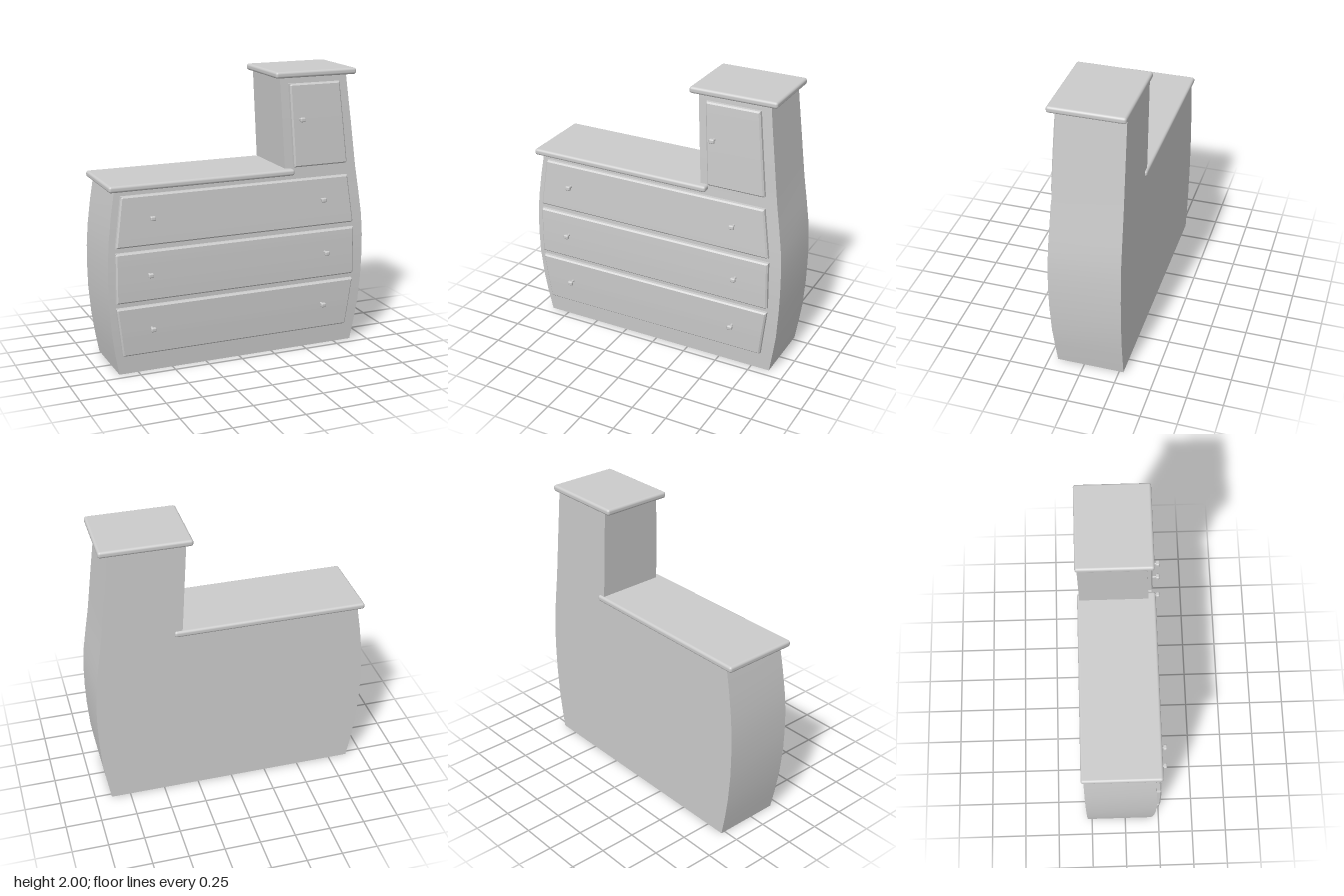
import * as THREE from 'three';
import { toCreasedNormals } from 'three/addons/utils/BufferGeometryUtils.js';
import { RoundedBoxGeometry } from 'three/addons/geometries/RoundedBoxGeometry.js';

const grey = new THREE.MeshStandardMaterial({ color: 0xcccccc });
const shellGrey = new THREE.MeshStandardMaterial({ color: 0xcccccc, side: THREE.DoubleSide });
const BACK = -0.28;

// Body profile by height: [y, left x, right x, front z]
const lower = [
  [0, -0.885, 0.885, 0.19], [0.15, -0.913, 0.91, 0.199], [0.3, -0.935, 0.932, 0.208],
  [0.5, -0.952, 0.946, 0.215], [0.65, -0.955, 0.95, 0.217], [0.8, -0.953, 0.949, 0.216],
  [0.95, -0.942, 0.94, 0.211], [1.12, -0.92, 0.917, 0.203], [1.3, -0.89, 0.89, 0.195],
];
const tower = [
  [1.3, 0.342, 0.89, 0.195], [1.45, 0.333, 0.872, 0.19], [1.62, 0.324, 0.852, 0.184],
  [1.8, 0.314, 0.83, 0.176], [1.97, 0.305, 0.81, 0.167],
];
const profile = [...lower, ...tower];

// Front surface depth at a given height
function frontZ(y) {
  for (let i = 1; i < profile.length; i++) {
    const [y0, , , z0] = profile[i - 1], [y1, , , z1] = profile[i];
    if (y <= y1 && y1 > y0) return THREE.MathUtils.lerp(z0, z1, (y - y0) / (y1 - y0));
  }
  return profile[profile.length - 1][3];
}

// Skin a stack of equal-length rings, with optional end caps
function loft(rings, capBottom, capTop) {
  const n = rings[0].length, index = [];
  rings.slice(1).forEach((_, r) => {
    for (let i = 0; i < n; i++) {
      const a = r * n + i, b = r * n + (i + 1) % n;
      index.push(a, b, b + n, a, b + n, a + n);
    }
  });
  const last = (rings.length - 1) * n;
  for (let i = 1; i < n - 1; i++) {
    if (capBottom) index.push(0, i + 1, i);
    if (capTop) index.push(last, last + i, last + i + 1);
  }
  const geometry = new THREE.BufferGeometry();
  geometry.setAttribute('position', new THREE.Float32BufferAttribute(rings.flat(2), 3));
  geometry.setIndex(index);
  return toCreasedNormals(geometry, 0.5);
}

// Curved, bevelled panel that follows the bowed front
function panelGeometry(y0, y1, bottomX, topX) {
  const bevel = 0.01, thick = 0.032, rings = [], steps = 10;
  const addRing = (y, inset) => {
    const t = (y - y0) / (y1 - y0);
    const l = THREE.MathUtils.lerp(bottomX[0], topX[0], t);
    const r = THREE.MathUtils.lerp(bottomX[1], topX[1], t);
    const z = frontZ(y), back = z - 0.005, side = z + thick - bevel, face = z + thick - inset;
    rings.push([[l, y, back], [l, y, side], [l + bevel, y, face],
      [r - bevel, y, face], [r, y, side], [r, y, back]]);
  };
  addRing(y0, bevel);
  for (let i = 0; i <= steps; i++) addRing(THREE.MathUtils.lerp(y0 + bevel, y1 - bevel, i / steps), 0);
  addRing(y1, bevel);
  return loft(rings, true, true);
}

function knob(x, y) {
  const group = new THREE.Group();
  group.name = 'knob';
  const stem = new THREE.Mesh(new THREE.CylinderGeometry(0.008, 0.01, 0.045, 10), grey);
  stem.name = 'knobStem';
  stem.rotation.x = Math.PI / 2;
  stem.position.z = 0.012;
  const head = new THREE.Mesh(new RoundedBoxGeometry(0.037, 0.031, 0.026, 2, 0.009), grey);
  head.name = 'knobHead';
  head.position.z = 0.04;
  group.add(stem, head);
  group.position.set(x, y, frontZ(y) + 0.03);
  group.rotation.x = Math.atan((frontZ(y + 0.1) - frontZ(y - 0.1)) / 0.2);
  return group;
}

function slab(name, x0, x1, y0, y1, z0, z1) {
  const mesh = new THREE.Mesh(new RoundedBoxGeometry(x1 - x0, y1 - y0, z1 - z0, 3, 0.017), grey);
  mesh.name = name;
  mesh.position.set((x0 + x1) / 2, (y0 + y1) / 2, (z0 + z1) / 2);
  return mesh;
}

export function createModel() {
  const model = new THREE.Group();
  model.name = 'dresser';

  // Hollow bowed body with a side tower, open underneath
  const rings = profile.map(([y, l, r, z]) => [[l, y, BACK], [l, y, z], [r, y, z], [r, y, BACK]]);
  const body = new THREE.Mesh(loft(rings, false, true), shellGrey);
  body.name = 'body';
  model.add(body);

  // Overhanging tops
  model.add(slab('dresserTop', -0.94, 0.395, 1.284, 1.328, -0.295, 0.245));
  model.add(slab('towerTop', 0.257, 0.87, 1.956, 2, -0.29, 0.217));

  // Drawers and door, each with its knobs
  const fronts = [
    { name: 'bottomDrawer', y: [0.138, 0.486], bottom: [-0.865, 0.823], top: [-0.907, 0.866], knobs: [[-0.664, 0.326], [0.617, 0.326]] },
    { name: 'middleDrawer', y: [0.522, 0.868], bottom: [-0.908, 0.868], top: [-0.905, 0.863], knobs: [[-0.677, 0.71], [0.634, 0.71]] },
    { name: 'topDrawer', y: [0.905, 1.25], bottom: [-0.902, 0.86], top: [-0.855, 0.813], knobs: [[-0.653, 1.095], [0.607, 1.095]] },
    { name: 'door', y: [1.336, 1.912], bottom: [0.402, 0.81], top: [0.368, 0.749], knobs: [[0.443, 1.67]] },
  ];
  for (const f of fronts) {
    const group = new THREE.Group();
    group.name = f.name;
    const panel = new THREE.Mesh(panelGeometry(...f.y, f.bottom, f.top), grey);
    panel.name = f.name + 'Panel';
    group.add(panel, ...f.knobs.map(([x, y]) => knob(x, y)));
    model.add(group);
  }
  return model;
}
